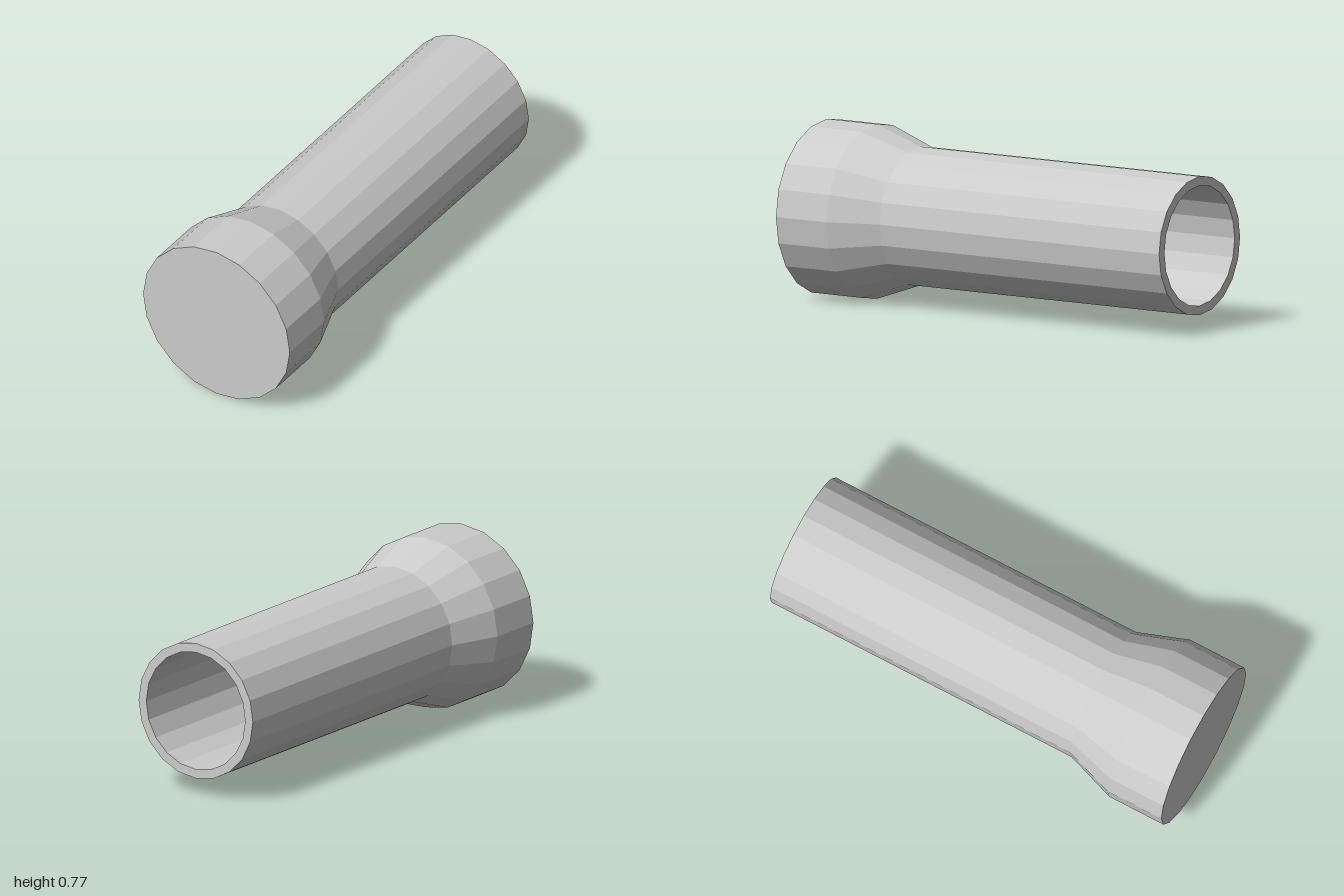
import * as THREE from 'three';

const SIDES = 20;
const HEAD_R = 0.387, BODY_R = 0.308, BORE_R = 0.267;
const BACK = -1, NECK = 0.5, SHOULDER = 0.73, FRONT = 1;

export function createModel() {
  const group = new THREE.Group();
  const material = new THREE.MeshStandardMaterial({ color: 0xcccccc, flatShading: true });

  function add(name, geometry) {
    const mesh = new THREE.Mesh(geometry, material);
    mesh.name = name;
    mesh.position.y = HEAD_R;
    group.add(mesh);
  }

  // Turned shape along z from [radius, z] pairs
  function turned(profile) {
    const points = profile.map(([r, z]) => new THREE.Vector2(r, z));
    return new THREE.LatheGeometry(points, SIDES).rotateX(Math.PI / 2);
  }

  // Hollow handle: bore wall, rear rim, outer wall
  add('handleTube', turned([[BORE_R, NECK], [BORE_R, BACK], [BODY_R, BACK], [BODY_R, NECK]]));

  // Floor of the bore, facing the open rear end
  add('boreFloor', new THREE.CircleGeometry(BORE_R, SIDES).rotateY(Math.PI).translate(0, 0, NECK));

  // Flared head: cone, then straight collar
  add('head', turned([[BODY_R, NECK], [HEAD_R, SHOULDER], [HEAD_R, FRONT]]));

  // Flat front face
  add('frontFace', new THREE.CircleGeometry(HEAD_R, SIDES).translate(0, 0, FRONT));

  return group;
}
